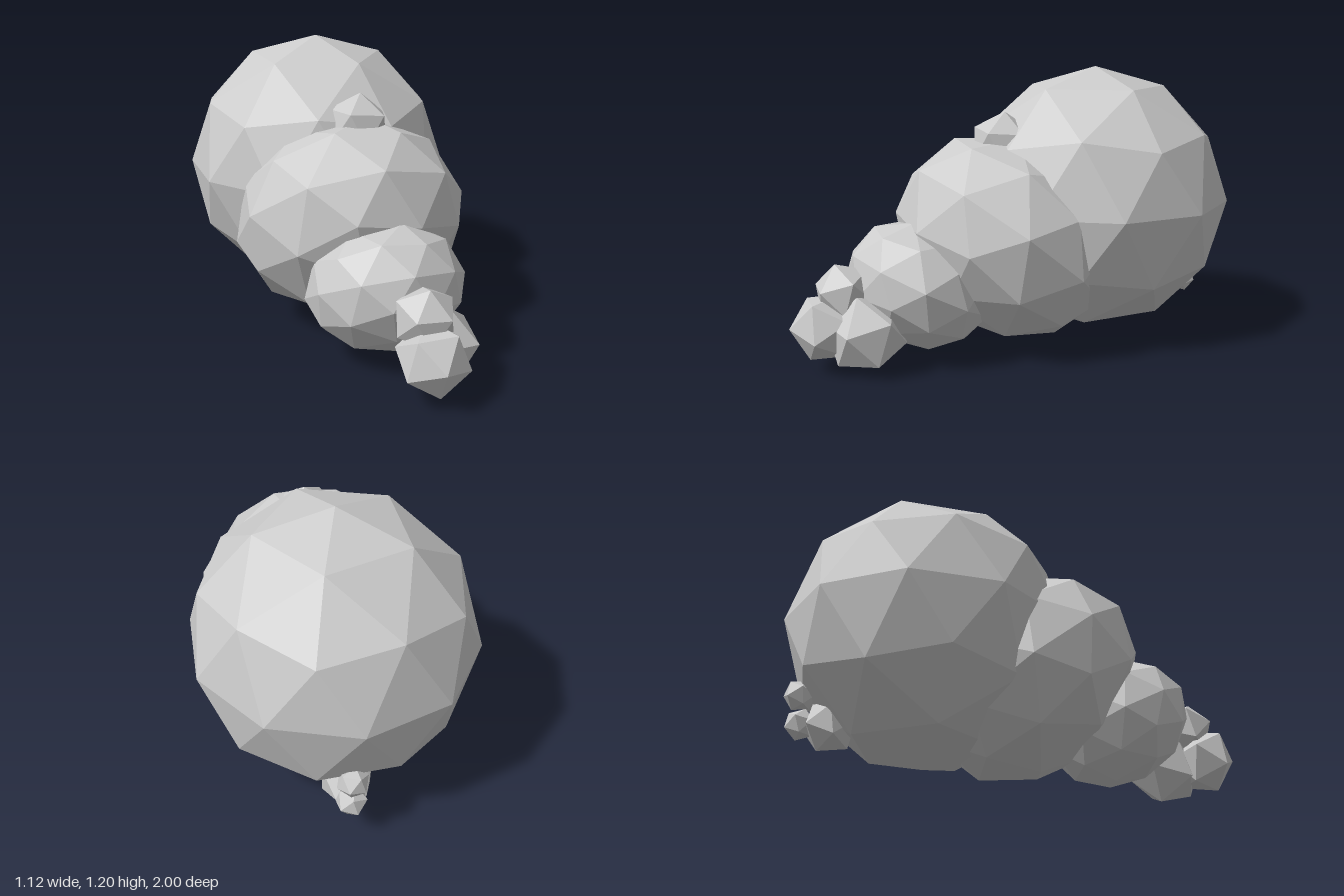
import * as THREE from 'three';

const material = new THREE.MeshStandardMaterial({ color: 0xcccccc, flatShading: true });

// Icosphere with a vertex at the top pole and an upper-ring vertex towards +x
function icosphere(detail) {
  const pole = new THREE.Vector3(0, 1, (1 + Math.sqrt(5)) / 2).normalize();
  const ring = new THREE.Vector3(0, -1, (1 + Math.sqrt(5)) / 2).normalize();
  const xAxis = ring.addScaledVector(pole, -ring.dot(pole)).normalize();
  const zAxis = new THREE.Vector3().crossVectors(xAxis, pole);
  const basis = new THREE.Matrix4().makeBasis(xAxis, pole, zAxis);
  return new THREE.IcosahedronGeometry(1, detail).applyMatrix4(basis.invert());
}

export function createModel() {
  const group = new THREE.Group();
  const large = icosphere(1);
  const small = icosphere(0);

  const add = (name, geometry, position, radii, rotation = [0, 0, 0]) => {
    const mesh = new THREE.Mesh(geometry, material);
    mesh.name = name;
    mesh.position.set(...position);
    mesh.scale.set(...radii);
    mesh.rotation.set(...rotation);
    group.add(mesh);
  };
  const deg = THREE.MathUtils.degToRad;

  // Main lobes, shrinking and flattening towards the front
  add('rearLobe', large, [0, 0.617, -0.4], [0.59, 0.588, 0.6]);
  add('middleLobe', large, [0, 0.475, 0.045], [0.505, 0.42, 0.505], [deg(-39), 0, 0]);
  add('frontLobe', large, [0, 0.313, 0.445], [0.33, 0.265, 0.322], [deg(-28), 0, 0]);

  // Small lumps: name, centre, radius, rotation
  const lumps = [
    ['topLump', [0.025, 0.885, 0.068], 0.142, [0, 0.3, -0.1]],
    ['noseLump', [0.022, 0.188, 0.855], 0.148, [-0.5, 0.2, 0]],
    ['sideNoseLump', [0.105, 0.166, 0.715], 0.17, [0.35, 0.5, -0.2]],
    ['upperNoseLump', [0.022, 0.32, 0.775], 0.13, [0.3, 0.2, 0]],
    ['tailLump', [0.015, 0.18, -0.775], 0.115, [0.4, 0.3, 0]],
    ['upperTailLump', [0.02, 0.3, -0.905], 0.066, [0.3, 0.6, 0.2]],
    ['lowerTailLump', [0.02, 0.178, -0.89], 0.066, [0.2, 0.1, 0.3]],
  ];
  for (const [name, position, radius, rotation] of lumps) {
    add(name, small, position, [radius, radius, radius], rotation);
  }
  return group;
}
